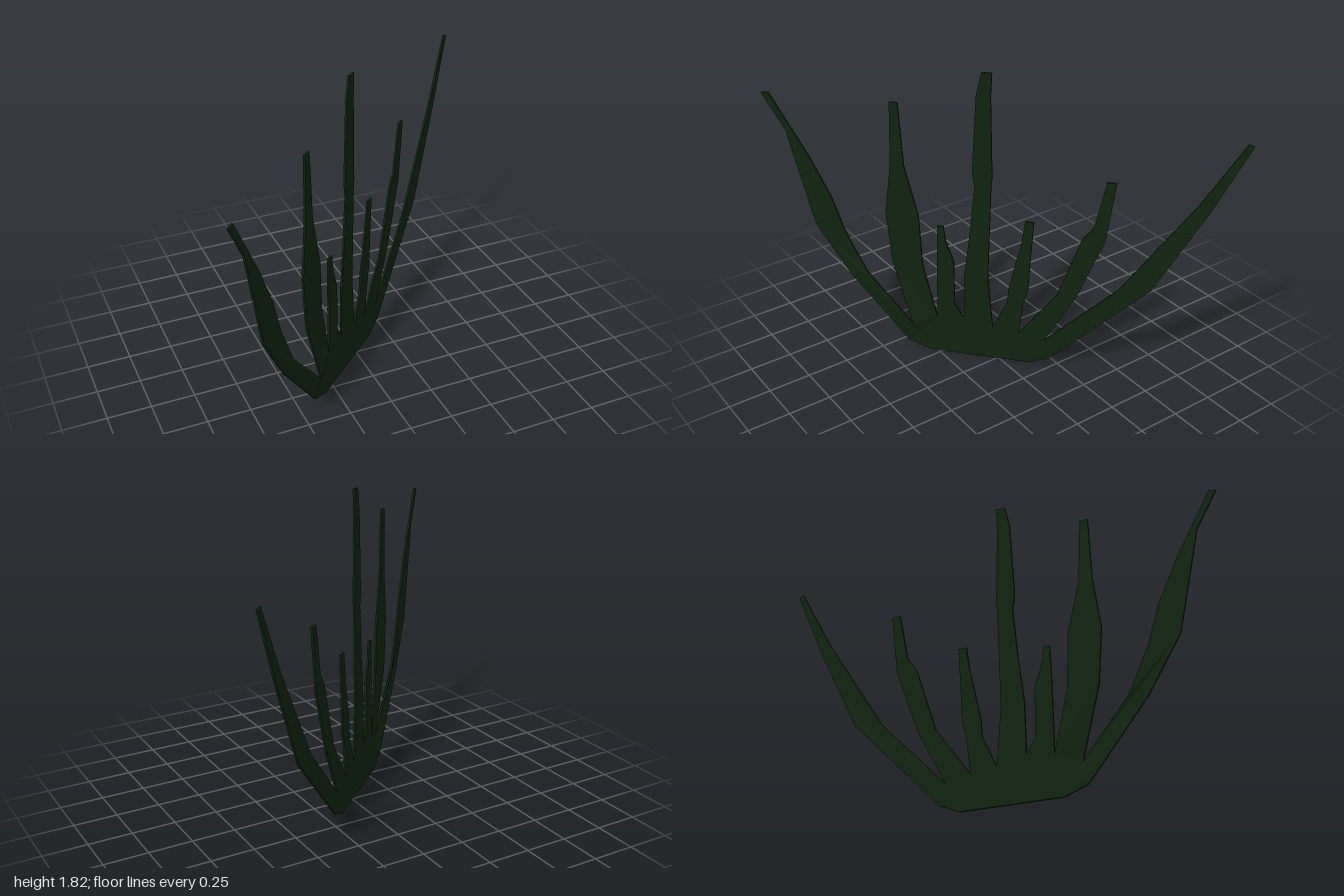
import * as THREE from 'three';

const ANGLE = Math.atan(0.89); // the flat tuft stands on a diagonal plane
const THICK = 0.012;
const BULGE = [-0.385, 0.18]; // notch that bends slightly out of the plane

// Notches between neighbouring blades, left to right
const notch = [BULGE, [-0.275, 0.24], [-0.155, 0.26], [-0.025, 0.22], [0.09, 0.2], [0.205, 0.17]];
const leftCorner = [-0.41, 0.05];
const rightCorner = [0.23, 0.05];
const roots = [leftCorner, ...notch, rightCorner];

// Each blade: left edge going up, then right edge going down
const blades = [
  [[-0.665, 0.47], [-0.81, 0.785], [-0.835, 0.93], [-0.91, 1.375], [-1, 1.585],
    [-0.97, 1.592], [-0.815, 1.22], [-0.73, 0.975], [-0.68, 0.76], [-0.59, 0.5]],
  [[-0.47, 0.59], [-0.49, 0.91], [-0.46, 1.22], [-0.45, 1.6],
    [-0.415, 1.6], [-0.4, 1.22], [-0.345, 0.91], [-0.335, 0.59]],
  [[-0.27, 0.64], [-0.265, 0.865],
    [-0.238, 0.865], [-0.227, 0.755], [-0.195, 0.64], [-0.195, 0.35]],
  [[-0.15, 0.555], [-0.125, 0.81], [-0.1, 1.135], [-0.11, 1.22], [-0.09, 1.68], [-0.067, 1.815],
    [-0.025, 1.815], [-0.03, 1.68], [-0.025, 1.2], [-0.03, 1.135], [-0.045, 0.555]],
  [[0.04, 0.405], [0.045, 0.5], [0.1, 0.82], [0.115, 0.955],
    [0.152, 0.955], [0.14, 0.72], [0.13, 0.49], [0.11, 0.4]],
  [[0.255, 0.495], [0.355, 0.885], [0.4, 0.96], [0.445, 1.25],
    [0.485, 1.25], [0.45, 0.885], [0.34, 0.5]],
  [[0.515, 0.58], [0.81, 1.165], [0.975, 1.55],
    [0.997, 1.538], [0.86, 1.14], [0.65, 0.6]],
];

const material = new THREE.MeshStandardMaterial({ color: 0x10240f, side: THREE.DoubleSide });

// Thin plate from an outline whose x is measured across the front
function plate(name, outline) {
  const stretch = 1 / Math.cos(ANGLE);
  const shape = new THREE.Shape(outline.map(([x, y]) => new THREE.Vector2(x * stretch, y)));
  const geometry = new THREE.ExtrudeGeometry(shape, { depth: THICK, bevelEnabled: false });
  geometry.translate(0, 0, -THICK / 2);
  const pos = geometry.attributes.position;
  for (let i = 0; i < pos.count; i++) {
    const d = Math.hypot(pos.getX(i) / stretch - BULGE[0], pos.getY(i) - BULGE[1]);
    if (d < 0.01) pos.setZ(i, pos.getZ(i) + 0.02);
  }
  geometry.computeVertexNormals();
  const mesh = new THREE.Mesh(geometry, material);
  mesh.name = name;
  return mesh;
}

export function createModel() {
  const tuft = new THREE.Group();
  tuft.name = 'grassTuft';

  // Fused foot of the tuft
  tuft.add(plate('base', [leftCorner, [-0.31, 0], [0.14, 0], rightCorner, ...[...notch].reverse()]));

  // Blades rise from the spans between neighbouring roots
  blades.forEach((edge, i) => {
    tuft.add(plate(`blade${i + 1}`, [roots[i], ...edge, roots[i + 1]]));
  });

  tuft.rotation.y = ANGLE;
  const model = new THREE.Group();
  model.name = 'grass';
  model.add(tuft);
  return model;
}
